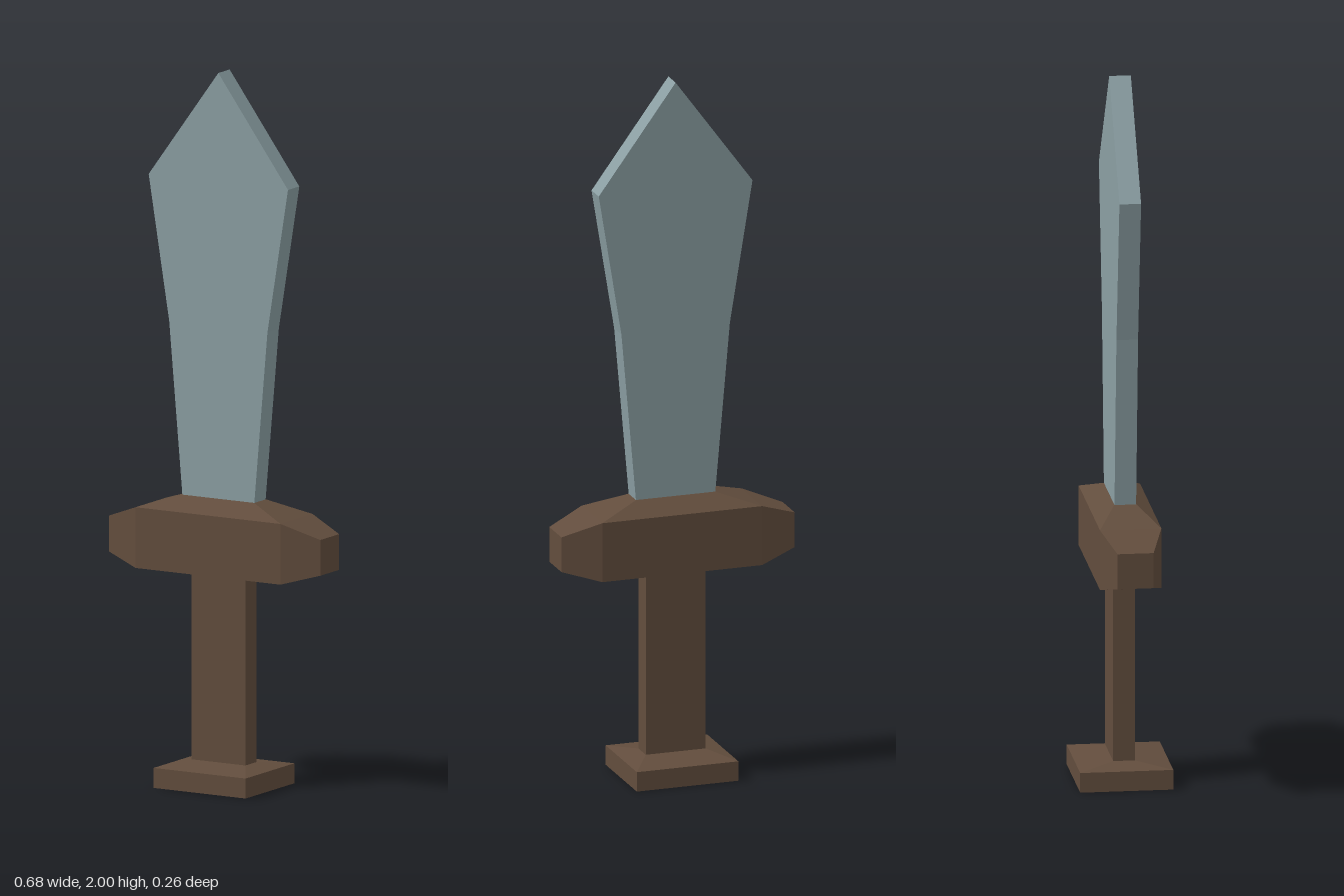
import * as THREE from 'three';

// Loft rectangular rings [height, centreX, halfX, halfZ] upward along y, with end caps
function loft(rings) {
  const pos = [];
  const corners = rings.map(([y, c, hx, hz]) => [
    [c - hx, y, hz], [c + hx, y, hz], [c + hx, y, -hz], [c - hx, y, -hz],
  ]);
  const quad = (a, b, c, d) => pos.push(...a, ...b, ...c, ...a, ...c, ...d);
  for (let r = 0; r < corners.length - 1; r++) {
    const lo = corners[r], hi = corners[r + 1];
    for (let i = 0; i < 4; i++) {
      const j = (i + 1) % 4;
      quad(lo[i], lo[j], hi[j], hi[i]);
    }
  }
  const first = corners[0], last = corners[corners.length - 1];
  quad(first[3], first[2], first[1], first[0]);
  quad(last[0], last[1], last[2], last[3]);
  const geo = new THREE.BufferGeometry();
  geo.setAttribute('position', new THREE.Float32BufferAttribute(pos, 3));
  geo.computeVertexNormals();
  return geo;
}

export function createModel() {
  const model = new THREE.Group();
  model.name = 'sword';
  const steel = new THREE.MeshStandardMaterial({ name: 'steel', color: 0x8b9fa3, flatShading: true });
  const wood = new THREE.MeshStandardMaterial({ name: 'wood', color: 0x624d3d, flatShading: true });

  const add = (name, geometry, material) => {
    const mesh = new THREE.Mesh(geometry, material);
    mesh.name = name;
    model.add(mesh);
    return mesh;
  };

  // Leaf-shaped blade, flat plate
  const half = [[0.115, 0.8], [0.158, 1.29], [0.224, 1.695]];
  const outline = [...half, [0, 2], ...half.map(([x, y]) => [-x, y]).reverse()];
  const blade = new THREE.ExtrudeGeometry(
    new THREE.Shape(outline.map(([x, y]) => new THREE.Vector2(x, y))),
    { depth: 0.06, bevelEnabled: false },
  );
  blade.translate(0, 0, -0.03);
  add('blade', blade, steel);

  // Crossguard lofted along x, tapering at both ends
  const guard = loft([
    [-0.34, -0.68, 0.05, 0.05],
    [-0.233, -0.685, 0.085, 0.085],
    [0.233, -0.685, 0.085, 0.085],
    [0.34, -0.68, 0.05, 0.05],
  ]);
  guard.rotateZ(-Math.PI / 2);
  add('guard', guard, wood);

  // Sloped collar where the blade meets the guard
  add('guardCollar', loft([[0.77, 0, 0.233, 0.085], [0.808, 0, 0.116, 0.031]]), wood);

  // Grip and flared pommel
  add('grip', loft([[0.06, 0, 0.087, 0.03], [0.61, 0, 0.087, 0.03]]), wood);
  add('pommel', loft([
    [0, 0, 0.148, 0.129],
    [0.056, 0, 0.148, 0.129],
    [0.07, 0, 0.087, 0.03],
  ]), wood);

  return model;
}
